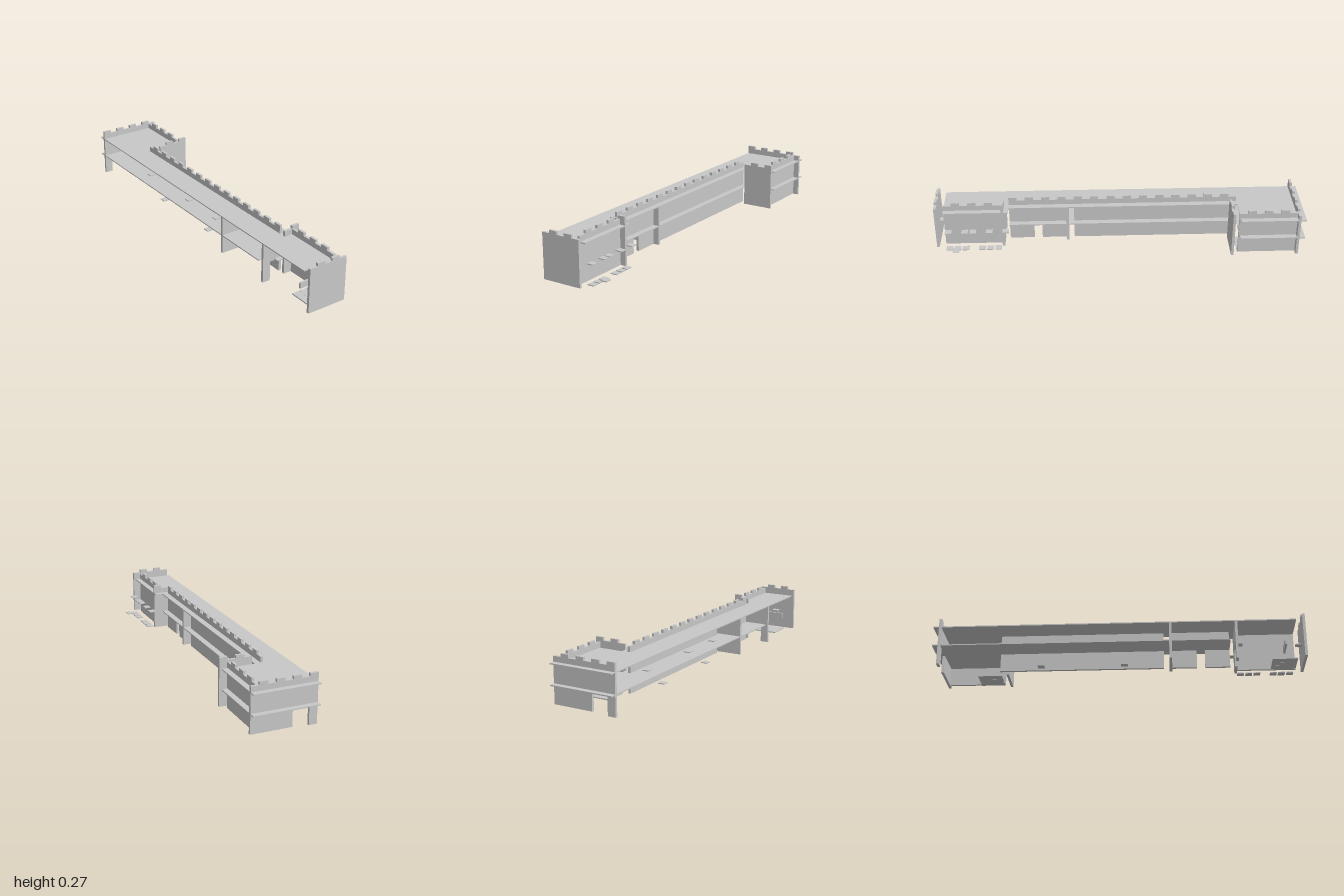
import * as THREE from 'three';

const stone = new THREE.MeshStandardMaterial({ color: 0xc8c8c8 });
stone.name = 'palegrey';
const UNIT = 0.0445, T = 0.014, BOARD = 0.006;
const BASE = 0.007, NOTCH = 0.25, TOP = 0.267, MID = 0.107, UPPER = 0.215;

export function createModel() {
  const root = new THREE.Group();

  const add = (name, geometry) => {
    const mesh = new THREE.Mesh(geometry, stone);
    mesh.name = name;
    root.add(mesh);
    return mesh;
  };

  // box given by its lower and upper corners
  const box = (name, x0, x1, y0, y1, z0, z1) => {
    const m = add(name, new THREE.BoxGeometry(x1 - x0, y1 - y0, z1 - z0));
    m.position.set((x0 + x1) / 2, (y0 + y1) / 2, (z0 + z1) / 2);
    return m;
  };

  // flat wall outline: bottom points run from u0 to u1, battlements run back
  const wallShape = (u0, u1, segments, merlonFirst, bottom) => {
    const pts = [[u0, BASE], ...bottom, [u1, BASE]];
    const step = (u1 - u0) / segments;
    for (let i = segments - 1; i >= 0; i--) {
      const h = (i % 2 === 0) === merlonFirst ? TOP : NOTCH;
      pts.push([u0 + (i + 1) * step, h], [u0 + i * step, h]);
    }
    return new THREE.Shape(pts.map(([u, v]) => new THREE.Vector2(u, v)));
  };
  const extrude = (shape) => new THREE.ExtrudeGeometry(shape, { depth: T, bevelEnabled: false });

  // wall across the model, lying in x and y
  const crossWall = (name, x0, x1, z, segments, merlonFirst, bottom = []) => {
    add(name, extrude(wallShape(x0, x1, segments, merlonFirst, bottom))).position.z = z;
  };
  // wall along the model; u runs from its front end towards the back
  const longWall = (name, zFront, zBack, x, segments, merlonFirst, bottom = []) => {
    const m = add(name, extrude(wallShape(0, zFront - zBack, segments, merlonFirst, bottom)));
    m.rotation.y = Math.PI / 2;
    m.position.set(x, 0, zFront);
  };

  // floor slab from an outline in x and z
  const floor = (name, y, outline) => {
    const shape = new THREE.Shape(outline.map(([x, z]) => new THREE.Vector2(x, -z)));
    const m = add(name, new THREE.ExtrudeGeometry(shape, { depth: BOARD, bevelEnabled: false }));
    m.rotation.x = -Math.PI / 2;
    m.position.y = y;
  };
  const backPart = [[0, -0.65], [0.177, -0.65], [0.177, -1], [-0.178, -1]];
  floor('upperFloor', UPPER, [[-0.178, 0.953], [0.044, 0.953], [0.044, 0.6], [0, 0.6], ...backPart]);
  floor('middleFloor', MID, [[-0.178, 0.6], [0, 0.6], ...backPart]);

  // doorway beside a leg, shared by the back wall and the front tower wall
  const legDoor = [[-0.178, 0], [-0.134, 0], [-0.134, MID], [-0.045, MID], [-0.045, BASE]];

  // front tower
  crossWall('frontWall', -0.178, 0.044, 0.986, 5, false);
  longWall('frontTowerSideWall', 0.953, 0.64, 0, 7, false);
  const gate = new THREE.Shape([[-0.178, 0], [-0.134, 0], [-0.134, MID], [-0.045, MID], [-0.045, BASE],
    [0.044, BASE], [0.044, TOP], [0, TOP], [0, NOTCH], [-0.046, NOTCH], [-0.046, UPPER], [-0.178, UPPER]]
    .map(([x, y]) => new THREE.Vector2(x, y)));
  add('frontTowerInnerWall', extrude(gate)).position.z = 0.626;

  // long middle wall with a low doorway and a tall doorway
  longWall('middleWall', 0.6, -0.646, -0.047, 28, true, [
    [0.134, BASE], [0.134, MID], [0.178, MID], [0.178, BASE],
    [0.312, BASE], [0.312, UPPER], [0.356, UPPER], [0.356, BASE]]);
  box('partition', -0.178, 0, BASE, UPPER, 0.274, 0.288);

  // back tower
  crossWall('backTowerFrontWall', 0, 0.177, -0.619, 4, false);
  longWall('backTowerSideWall', -0.643, -0.956, 0.132, 7, false);
  crossWall('backWall', -0.178, 0.177, -0.97, 8, true, legDoor);

  // trapdoor planks on the ground, three to a set
  for (let i = 0; i < 3; i++) {
    const dx = i * UNIT;
    box('backPlank', dx, dx + UNIT - 0.001, 0, BOARD, -0.775, -0.643);
    box('frontPlank', -0.134 + dx, -0.134 + dx + UNIT - 0.001, BASE, BASE + BOARD, 0.82, 0.953);
  }
  box('frontTowerBeam', -0.15, -0.03, 0.085, 0.118, 0.89, 0.9);

  // small square tiles
  const tile = (x, y, z) => box('tile', x - 0.018, x + 0.018, y, y + 0.005, z - 0.018, z + 0.018);
  const low = BASE, high = MID + BOARD;
  for (const k of [0, 1, 2, 4, 5, 6]) tile(0.065, low, 0.928 - k * UNIT);
  for (const k of [0, 2, 3, 5, 7]) tile(0.065, high, 0.928 - k * UNIT);
  tile(0.111, 0.025, 0.887);
  tile(-0.067, high, 0.97);
  for (const z of [-0.416, 0.032]) tile(-0.092, low, z);
  for (const z of [-0.56, -0.157, 0.11, 0.65]) tile(-0.092, high, z);

  return root;
}
